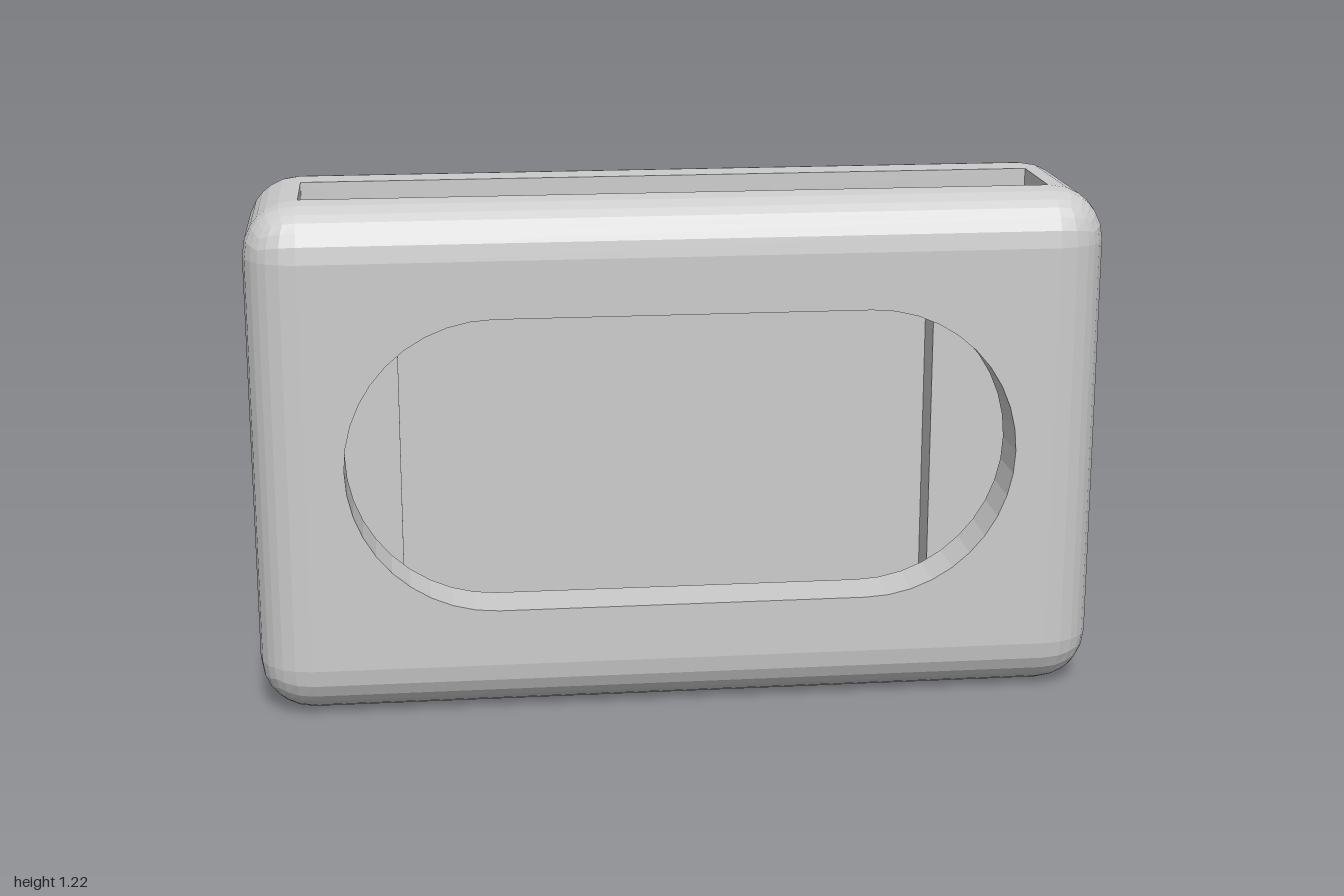
import * as THREE from 'three';
import { RoundedBoxGeometry } from 'three/addons/geometries/RoundedBoxGeometry.js';

const W = 1, H = 1.22, D = 0.28, R = 0.125;          // half width, height, half depth, edge radius
const SLOT = { x: 0.87, back: -0.07, front: 0.15 };  // vertical through slot
const POCKET = { x: 0.655, y0: 0.1, y1: 1.12, z: -0.165 };

const material = new THREE.MeshStandardMaterial({ color: 0xcccccc, flatShading: true });

// Counter-clockwise rectangle, symmetric in x
const rect = (x, y0, y1) => [[-x, y0], [x, y0], [x, y1], [-x, y1]].map(p => new THREE.Vector2(...p));

// Counter-clockwise outline with two half-round ends
function stadium(halfLength, r, cy, n) {
  const points = [];
  for (const side of [1, -1]) {
    for (let i = 0; i <= n; i++) {
      const a = -Math.PI / 2 + Math.PI * i / n;
      points.push(new THREE.Vector2(side * (halfLength - r + r * Math.cos(a)), cy + side * r * Math.sin(a)));
    }
  }
  return points;
}

// Flat sheet facing +z, with an optional hole
function sheet(outline, hole) {
  const shape = new THREE.Shape(outline);
  if (hole) shape.holes.push(new THREE.Path(hole));
  return new THREE.ShapeGeometry(shape);
}

// Inward-facing wall along a closed outline from z0 to z1
function lining(outline, z0, z1) {
  const v = [];
  outline.forEach((a, i) => {
    const b = outline[(i + 1) % outline.length];
    v.push(a.x, a.y, z0, b.x, b.y, z1, b.x, b.y, z0);
    v.push(a.x, a.y, z0, a.x, a.y, z1, b.x, b.y, z1);
  });
  const g = new THREE.BufferGeometry();
  g.setAttribute('position', new THREE.Float32BufferAttribute(v, 3));
  g.computeVertexNormals();
  return g;
}

// Rounded box without its flat front, top and bottom
function shell() {
  const source = new RoundedBoxGeometry(2 * W, H, 2 * D, 3, R).toNonIndexed();
  const p = source.attributes.position;
  const v = [];
  const e = 1e-4;
  for (let i = 0; i < p.count; i += 3) {
    const tri = [i, i + 1, i + 2];
    const open = tri.every(k => p.getZ(k) > D - e)
      || tri.every(k => p.getY(k) > H / 2 - e)
      || tri.every(k => p.getY(k) < -H / 2 + e);
    if (!open) tri.forEach(k => v.push(p.getX(k), p.getY(k) + H / 2, p.getZ(k)));
  }
  const g = new THREE.BufferGeometry();
  g.setAttribute('position', new THREE.Float32BufferAttribute(v, 3));
  g.computeVertexNormals();
  return g;
}

export function createModel() {
  const group = new THREE.Group();
  const add = (name, geometry) => {
    const mesh = new THREE.Mesh(geometry, material);
    mesh.name = name;
    group.add(mesh);
  };

  const windowOutline = stadium(0.785, 0.35, H / 2, 20);
  const pocketOutline = rect(POCKET.x, POCKET.y0, POCKET.y1);

  // Outside
  add('roundedShell', shell());
  add('frontFace', sheet(rect(W - R, R, H - R), windowOutline).translate(0, 0, D));
  add('topRim', sheet(rect(W - R, R - D, D - R), rect(SLOT.x, -SLOT.front, -SLOT.back))
    .rotateX(-Math.PI / 2).translate(0, H, 0));
  add('bottomRim', sheet(rect(W - R, R - D, D - R), rect(SLOT.x, SLOT.back, SLOT.front))
    .rotateX(Math.PI / 2));

  // Window through the front wall
  add('windowEdge', lining(windowOutline, SLOT.front, D));

  // Slot walls
  add('slotFrontWall', sheet(rect(SLOT.x, 0, H), windowOutline)
    .rotateY(Math.PI).translate(0, 0, SLOT.front));
  add('slotBackWall', sheet(rect(SLOT.x, 0, H), pocketOutline).translate(0, 0, SLOT.back));
  for (const side of [1, -1]) {
    add(side > 0 ? 'slotLeftWall' : 'slotRightWall',
      new THREE.PlaneGeometry(SLOT.front - SLOT.back, H)
        .rotateY(-side * Math.PI / 2)
        .translate(side * SLOT.x, H / 2, (SLOT.front + SLOT.back) / 2));
  }

  // Shallow pocket in the back wall of the slot
  add('pocketSides', lining(pocketOutline, POCKET.z, SLOT.back));
  add('pocketBack', sheet(pocketOutline).translate(0, 0, POCKET.z));

  return group;
}
